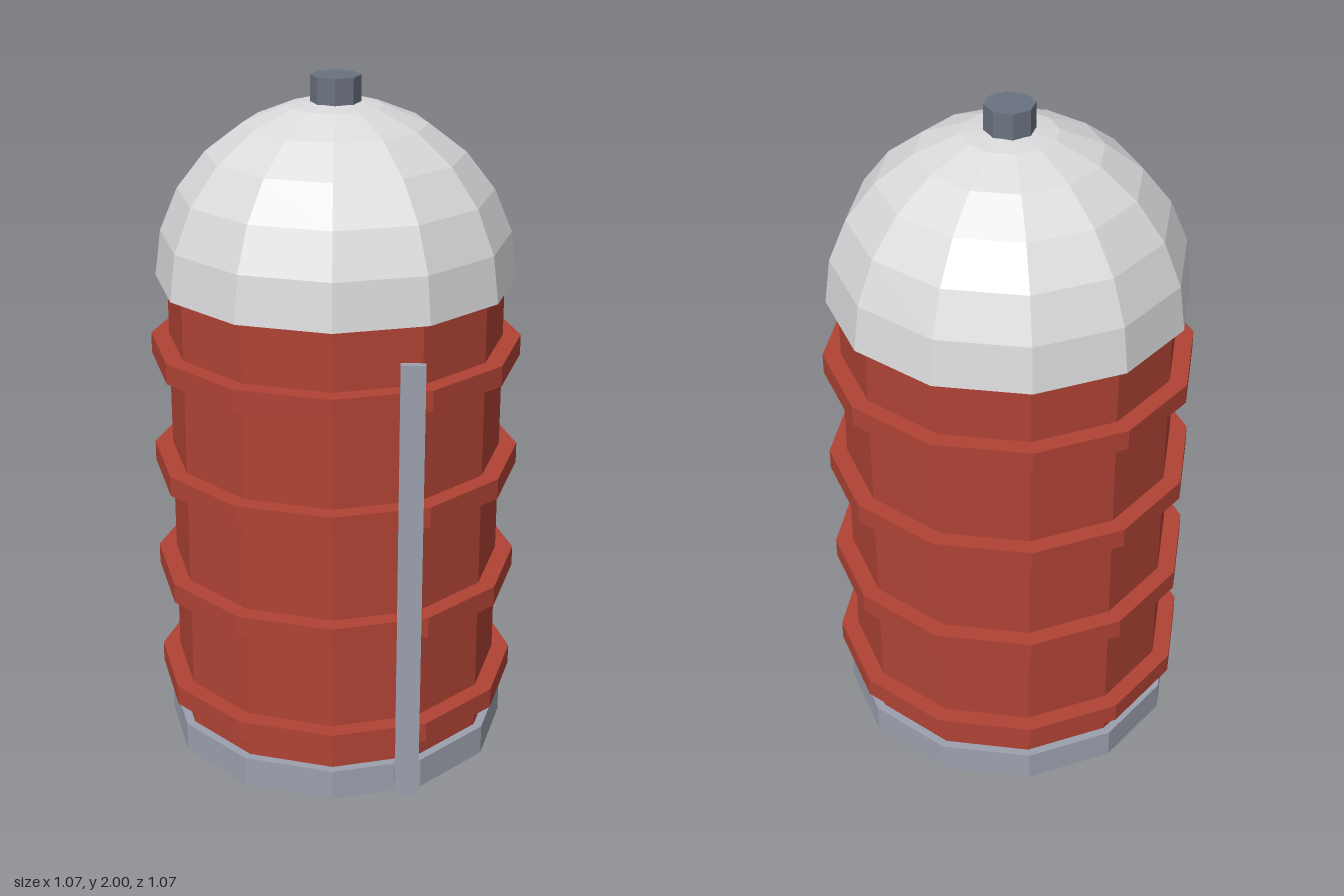
import * as THREE from 'three';

const paint = (name, color) => {
  const m = new THREE.MeshStandardMaterial({ color, flatShading: true });
  m.name = name;
  return m;
};

export function createModel() {
  const model = new THREE.Group();
  model.name = 'silo';
  const red = paint('barn red', 0xb04335);
  const pale = paint('pale dome grey', 0xdadadd);
  const steel = paint('light steel', 0x9ca1ae);
  const dark = paint('dark steel', 0x6b7280);

  const add = (name, geometry, material, x, y, z) => {
    const mesh = new THREE.Mesh(geometry, material);
    mesh.name = name;
    mesh.position.set(x, y, z);
    model.add(mesh);
    return mesh;
  };
  // Upright prism spanning y0 to y1
  const drum = (name, radius, y0, y1, material, sides = 12) =>
    add(name, new THREE.CylinderGeometry(radius, radius, y1 - y0, sides), material, 0, (y0 + y1) / 2, 0);

  // Foundation and wall
  drum('base', 0.511, 0, 0.09, steel);
  drum('wall', 0.485, 0.02, 1.43, red);

  // Four hoops around the wall
  for (let i = 0; i < 4; i++) {
    const y = 0.196 + i * 0.3403;
    drum('hoop' + (i + 1), 0.537, y - 0.03, y + 0.03, red);
  }

  // Dome roof with a closed underside
  const dome = add('dome', new THREE.SphereGeometry(0.518, 12, 6, 0, Math.PI * 2, 0, Math.PI / 2), pale, 0, 1.423, 0);
  dome.scale.y = 0.512 / 0.518;
  const soffit = add('domeUnderside', new THREE.CircleGeometry(0.518, 12), pale, 0, 1.423, 0);
  soffit.rotation.x = Math.PI / 2;

  // Roof vent
  drum('vent', 0.071, 1.88, 2, dark, 8);

  // Ladder strip at the front
  add('ladder', new THREE.BoxGeometry(0.068, 1.328, 0.022), steel, 0.214, 0.664, 0.485);

  return model;
}
